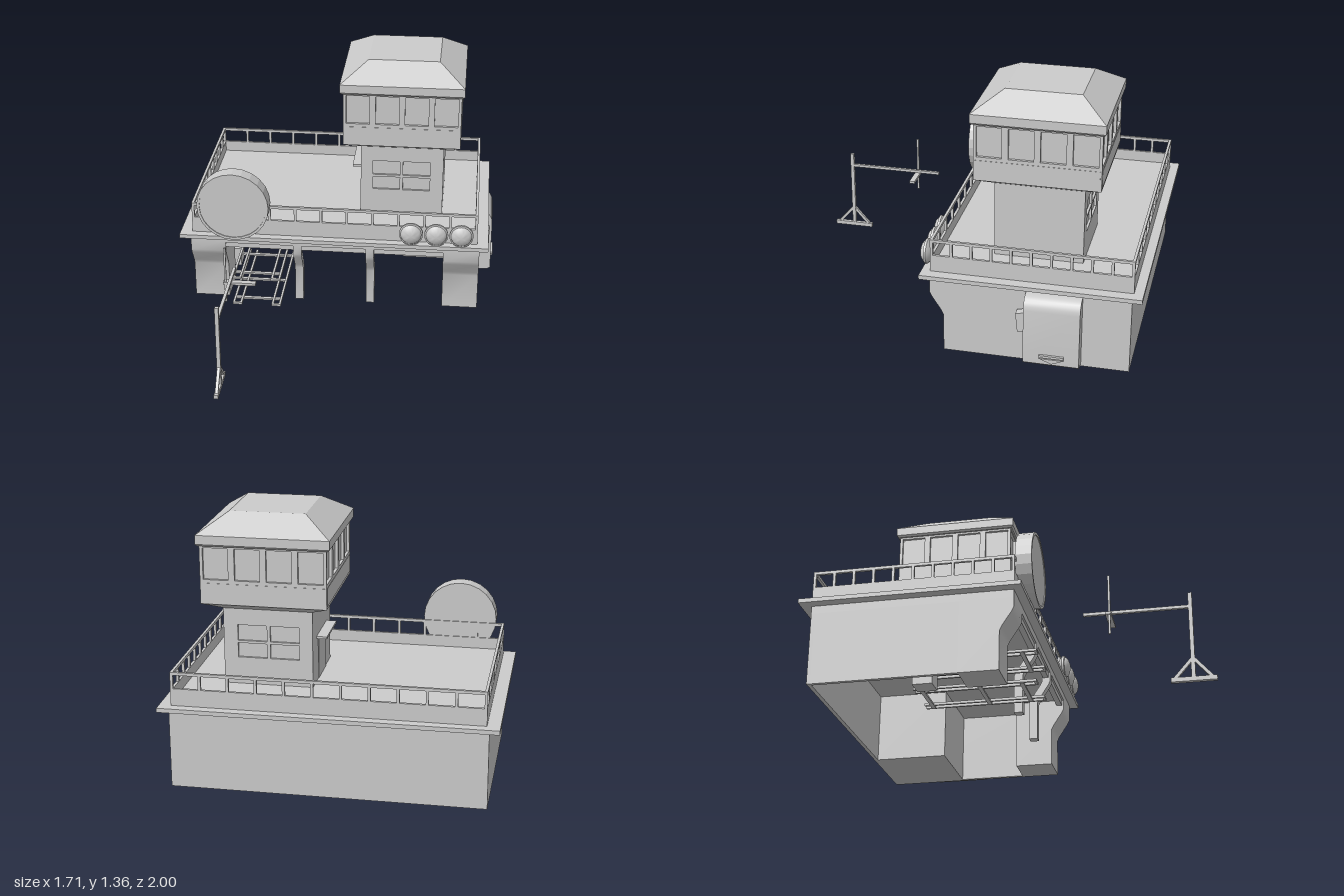
import * as THREE from 'three';
import { toCreasedNormals } from 'three/addons/utils/BufferGeometryUtils.js';

const mat = new THREE.MeshStandardMaterial({ color: 0xcccccc, flatShading: true, side: THREE.DoubleSide });
const smooth = new THREE.MeshStandardMaterial({ color: 0xcccccc });

function add(parent, name, geo, material = mat) {
  const m = new THREE.Mesh(geo, material);
  m.name = name;
  parent.add(m);
  return m;
}

// Box given by its limits on each axis
function box(parent, name, x0, x1, y0, y1, z0, z1) {
  const m = add(parent, name, new THREE.BoxGeometry(x1 - x0, y1 - y0, z1 - z0));
  m.position.set((x0 + x1) / 2, (y0 + y1) / 2, (z0 + z1) / 2);
  return m;
}

// Square bar between two points
function bar(parent, name, a, b, w) {
  const A = new THREE.Vector3(...a), B = new THREE.Vector3(...b);
  const m = add(parent, name, new THREE.BoxGeometry(w, w, A.distanceTo(B)));
  m.position.copy(A).add(B).multiplyScalar(0.5);
  m.lookAt(B);
  return m;
}

// Stack of rectangular sections [x0, x1, z0, z1, y], capped at both ends
function loft(parent, name, sections) {
  const pos = [], idx = [];
  for (const [x0, x1, z0, z1, y] of sections) pos.push(x0, y, z1, x1, y, z1, x1, y, z0, x0, y, z0);
  for (let s = 0; s < sections.length - 1; s++)
    for (let i = 0; i < 4; i++) {
      const a = s * 4 + i, b = s * 4 + (i + 1) % 4;
      idx.push(a, b, b + 4, a, b + 4, a + 4);
    }
  const t = (sections.length - 1) * 4;
  idx.push(0, 2, 1, 0, 3, 2, t, t + 1, t + 2, t, t + 2, t + 3);
  const g = new THREE.BufferGeometry();
  g.setAttribute('position', new THREE.Float32BufferAttribute(pos, 3));
  g.setIndex(idx);
  const flat = g.toNonIndexed();
  flat.computeVertexNormals();
  return add(parent, name, flat);
}

// Outline of [z, y] points extruded from x0 to x1
function extrudeX(parent, name, points, x0, x1) {
  const shape = new THREE.Shape(points.map(p => new THREE.Vector2(...p)));
  const g = new THREE.ExtrudeGeometry(shape, { depth: x1 - x0, bevelEnabled: false });
  g.rotateY(-Math.PI / 2).translate(x1, 0, 0);
  return add(parent, name, toCreasedNormals(g, 0.72), smooth);
}

// Closed rectangle as a list of points
const rect = (x0, x1, y0, y1) => [[x0, y0], [x1, y0], [x1, y1], [x0, y1]].map(p => new THREE.Vector2(...p));

function group(parent, name) {
  const g = new THREE.Group();
  g.name = name;
  parent.add(g);
  return g;
}

function buildHall(root) {
  const g = group(root, 'hall');
  box(g, 'ceiling', -0.802, 0.772, 0.385, 0.43, -0.947, 0.07);
  box(g, 'backWall', -0.802, 0.772, 0.013, 0.39, -0.947, -0.927);
  box(g, 'leftWall', 0.752, 0.772, 0.013, 0.39, -0.947, -0.2);
  box(g, 'rightWall', -0.802, -0.782, 0.013, 0.39, -0.947, -0.2);
  box(g, 'innerRoom', 0.33, 0.767, 0.013, 0.39, -0.942, -0.55);
  box(g, 'crate', -0.7, -0.6, 0.013, 0.12, -0.45, -0.35);
  // Flared front: outer piers and slim posts share one curve
  const flare = [[0, 0.013], [0, 0.215], [0.012, 0.24], [0.058, 0.31], [0.07, 0.335], [0.07, 0.4]];
  const pier = [[-0.2, 0.013], ...flare, [-0.2, 0.4]];
  const post = [...flare, ...flare.map(([z, y]) => [z - 0.045, y]).reverse()];
  extrudeX(g, 'rightPier', pier, -0.802, -0.61);
  extrudeX(g, 'leftPier', pier, 0.577, 0.772);
  for (const x of [-0.238, 0.157]) extrudeX(g, 'frontPost', post, x, x + 0.045);
  for (const [a, b] of [[-0.61, -0.238], [-0.193, 0.157], [0.202, 0.577]])
    box(g, 'doorHeader', a, b, 0.355, 0.39, 0.03, 0.06);

  // Rounded side hatch
  const hatch = new THREE.Shape();
  hatch.moveTo(0.765, 0.025);
  hatch.lineTo(0.83, 0.03);
  hatch.lineTo(0.842, 0.04);
  hatch.lineTo(0.842, 0.33);
  hatch.quadraticCurveTo(0.837, 0.4, 0.765, 0.4);
  const hg = new THREE.ExtrudeGeometry(hatch, { depth: 0.283, bevelEnabled: false, curveSegments: 6 });
  add(g, 'sideHatch', toCreasedNormals(hg.translate(0, 0, -0.705), 0.6), smooth);
  extrudeX(g, 'hatchVent', [[-0.425, 0.2], [-0.39, 0.2], [-0.38, 0.3], [-0.425, 0.31]], 0.782, 0.828);
  box(g, 'hatchStep', 0.842, 0.855, 0.082, 0.094, -0.63, -0.505);
  extrudeX(g, 'hatchHandle', [[-0.63, 0.075], [-0.57, 0.05], [-0.505, 0.075]], 0.84, 0.852);
}

function buildRoofDeck(root) {
  const g = group(root, 'roofDeck');
  box(g, 'roofSlab', -0.855, 0.818, 0.425, 0.447, -1, 0.115);
  const [x0, x1, z0, z1] = [-0.79, 0.758, -0.952, 0.07], t = 0.014;
  box(g, 'deckFloor', x0 + t, x1 - t, 0.445, 0.475, z0 + t, z1 - t);
  box(g, 'parapetFront', x0, x1, 0.445, 0.535, z1 - t, z1);
  box(g, 'parapetBack', x0, x1, 0.445, 0.535, z0, z0 + t);
  box(g, 'parapetRight', x0, x0 + t, 0.445, 0.535, z0, z1);
  box(g, 'parapetLeft', x1 - t, x1, 0.445, 0.535, z0, z1);
  // Railing
  for (const z of [z0, z1 - t]) {
    box(g, 'handrail', x0, x1, 0.605, 0.62, z, z + t);
    for (let i = 0; i <= 11; i++) {
      const x = x0 + (x1 - x0 - t) * i / 11;
      box(g, 'railPost', x, x + t, 0.53, 0.61, z, z + t);
    }
  }
  for (const x of [x0, x1 - t]) {
    box(g, 'handrail', x, x + t, 0.605, 0.62, z0, z1);
    for (let i = 1; i < 10; i++) {
      const z = z0 + (z1 - z0 - t) * i / 10;
      box(g, 'railPost', x, x + t, 0.53, 0.61, z, z + t);
    }
  }
}

function buildTower(root) {
  const g = group(root, 'tower');
  // Shaft, with recessed four-pane windows front and back
  const [a0, a1, b0, b1] = [0.105, 0.557, -0.668, -0.213], k = 0.012;
  box(g, 'shaft', a0, a1, 0.445, 0.88, b0 + k, b1 - k);
  const wall = new THREE.Shape(rect(a0, a1, 0.445, 0.88));
  for (const [x0, x1] of [[0.172, 0.32], [0.337, 0.485]])
    for (const [y0, y1] of [[0.615, 0.69], [0.703, 0.785]])
      wall.holes.push(new THREE.Path(rect(x0, x1, y0, y1)));
  for (const z of [b0, b1 - k])
    add(g, 'windowWall', new THREE.ExtrudeGeometry(wall, { depth: k, bevelEnabled: false })).position.z = z;
  box(g, 'door', 0.102, 0.106, 0.45, 0.69, -0.53, -0.35);
  box(g, 'doorAwning', 0.052, 0.106, 0.7, 0.712, -0.57, -0.31);

  // Cab with glazing set back behind its frame
  const [x0, x1, z0, z1] = [0.015, 0.645, -0.758, -0.123], d = 0.015;
  const inner = [x0 + d, x1 - d, z0 + d, z1 - d];
  loft(g, 'cab', [[a0, a1, b0, b1, 0.87], [x0, x1, z0, z1, 0.915],
    [x0, x1, z0, z1, 1.04], [...inner, 1.04], [...inner, 1.21]]);
  loft(g, 'windowHead', [[x0, x1, z0, z1, 1.2], [x0, x1, z0, z1, 1.216]]);
  box(g, 'cabFrontPanel', x0 + 0.008, x1 - 0.008, 0.93, 1.022, z0 - 0.002, z1 + 0.002);
  box(g, 'cabSidePanel', x0 - 0.002, x1 + 0.002, 0.93, 1.022, z0 + 0.008, z1 - 0.008);
  for (let i = 0; i <= 4; i++) {
    const h = 0.016, x = x0 + (x1 - x0) * i / 4, z = z0 + (z1 - z0) * i / 4;
    for (const s of [z0, z1 - d])
      box(g, 'windowPost', Math.max(x - h, x0), Math.min(x + h, x1), 1.035, 1.205, s, s + d);
    for (const s of [x0, x1 - d])
      box(g, 'windowPost', s, s + d, 1.035, 1.205, Math.max(z - h, z0), Math.min(z + h, z1));
  }
  loft(g, 'hippedRoof', [[0.007, 0.652, -0.766, -0.115, 1.21], [-0.003, 0.66, -0.774, -0.107, 1.22],
    [-0.003, 0.66, -0.774, -0.107, 1.265], [0.14, 0.52, -0.635, -0.253, 1.36]]);
}

function buildRoofEquipment(root) {
  const g = group(root, 'roofEquipment');
  // Drum antenna with a slightly sunken face
  const drum = [[0, 0], [0.194, 0], [0.194, 0.083], [0.18, 0.083], [0.18, 0.078], [0, 0.078]];
  const dg = new THREE.LatheGeometry(drum.map(p => new THREE.Vector2(...p)), 24).rotateX(Math.PI / 2);
  add(g, 'drumAntenna', dg).position.set(-0.553, 0.64, 0.062);
  // Three domed floodlights, each a shallow bowl, a rim and a lens
  const bowl = [[0, -0.03], [0.045, -0.024], [0.064, -0.006], [0.064, 0.006], [0.056, 0.008]];
  const lens = [[0.056, 0.006], [0.052, 0.015], [0.04, 0.024], [0.02, 0.031], [0, 0.033]];
  for (const x of [0.403, 0.538, 0.672])
    for (const [name, points] of [['floodlightBowl', bowl], ['floodlightLens', lens]]) {
      const lg = new THREE.LatheGeometry(points.map(p => new THREE.Vector2(...p)), 24).rotateX(Math.PI / 2);
      add(g, name, toCreasedNormals(lg, 0.8), smooth).position.set(x, 0.512, 0.107);
    }
}

function buildRacks(root) {
  const g = group(root, 'loadingRacks');
  for (const y of [0.045, 0.205]) {
    for (const x of [-0.545, -0.33]) {
      for (const s of [-0.02, 0.02])
        box(g, 'rackRail', x + s - 0.006, x + s + 0.006, y - 0.008, y + 0.005, -0.48, 0.135);
      box(g, 'rackTip', x - 0.026, x + 0.026, y - 0.008, y + 0.005, 0.122, 0.135);
    }
    for (const z of [-0.45, -0.16, 0.05]) box(g, 'rackCrossbar', -0.565, -0.31, y - 0.01, y, z, z + 0.02);
  }
}

function buildMast(root) {
  const g = group(root, 'mastArm');
  const x = -0.513, z = 0.887;
  box(g, 'mastBase', x - 0.011, x + 0.011, 0, 0.022, 0.778, 1);
  box(g, 'mast', x - 0.01, x + 0.01, 0.015, 0.465, z - 0.01, z + 0.01);
  for (const s of [-1, 1]) bar(g, 'mastBrace', [x, 0.018, z + s * 0.09], [x, 0.115, z + s * 0.005], 0.016);
  box(g, 'arm', x - 0.008, x + 0.008, 0.385, 0.4, 0.36, z);
  box(g, 'hangingRod', -0.543, -0.533, 0.27, 0.585, 0.487, 0.498);
  box(g, 'armBracket', -0.55, -0.38, 0.372, 0.386, 0.472, 0.502);
}

export function createModel() {
  const root = new THREE.Group();
  root.name = 'controlTowerBuilding';
  [buildHall, buildRoofDeck, buildTower, buildRoofEquipment, buildRacks, buildMast].forEach(f => f(root));
  return root;
}
